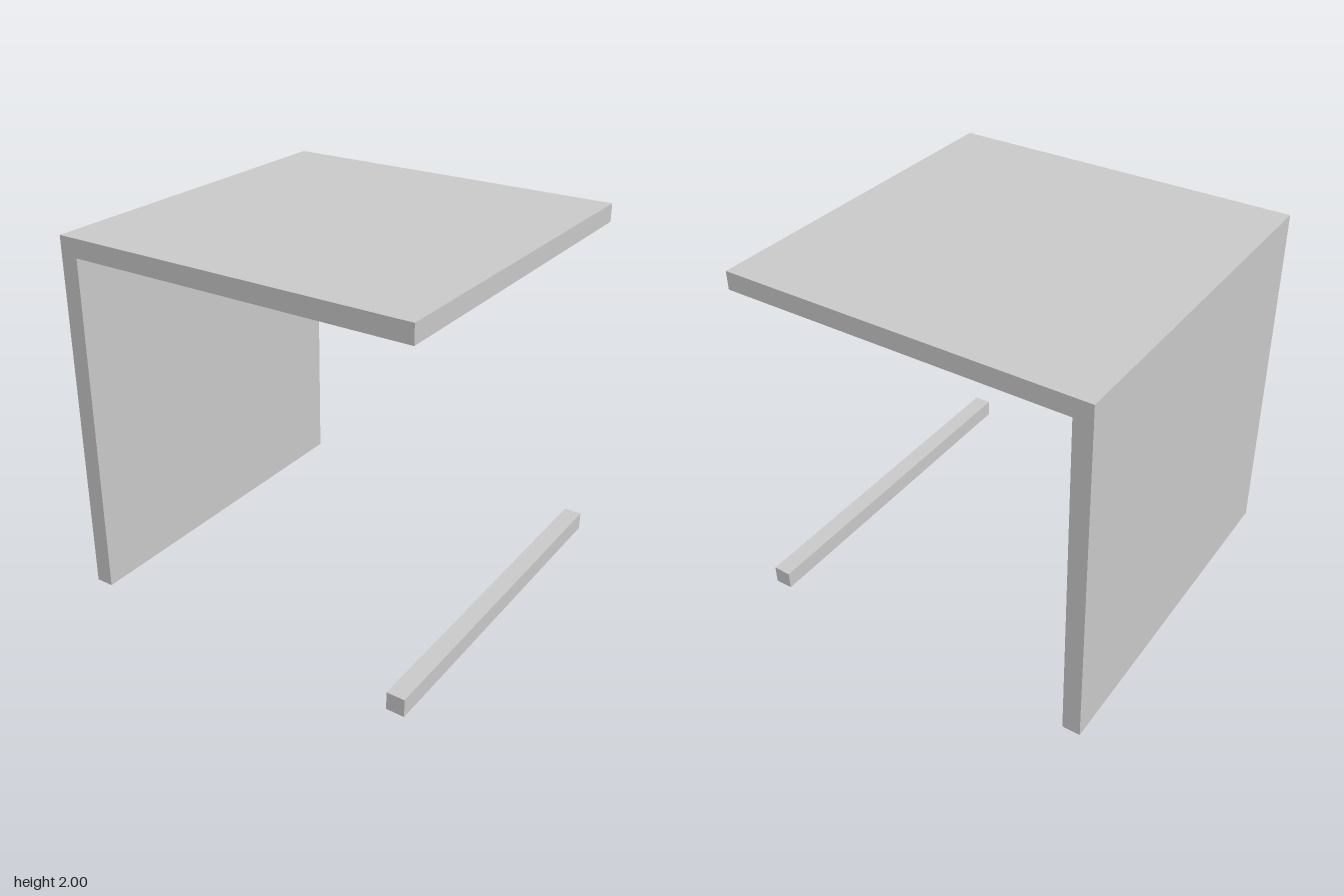
import * as THREE from 'three';

export function createModel() {
  const size = 2, thick = 0.1, half = size / 2;
  const group = new THREE.Group();
  const material = new THREE.MeshStandardMaterial({ color: 0xcccccc, flatShading: true });

  // Roof slab and side wall as one L-shaped profile, extruded front to back
  const profile = new THREE.Shape([
    [-half, 0], [-half + thick, 0], [-half + thick, size - thick],
    [half, size - thick], [half, size], [-half, size],
  ].map(([x, y]) => new THREE.Vector2(x, y)));
  const shellGeometry = new THREE.ExtrudeGeometry(profile, { depth: size, bevelEnabled: false });
  shellGeometry.translate(0, 0, -half);
  const shell = new THREE.Mesh(shellGeometry, material);
  shell.name = 'roofAndWall';
  group.add(shell);

  // Low sill along the open side
  const sill = new THREE.Mesh(new THREE.BoxGeometry(thick, thick, size), material);
  sill.position.set(half - thick / 2, thick / 2, 0);
  sill.name = 'floorSill';
  group.add(sill);

  return group;
}
